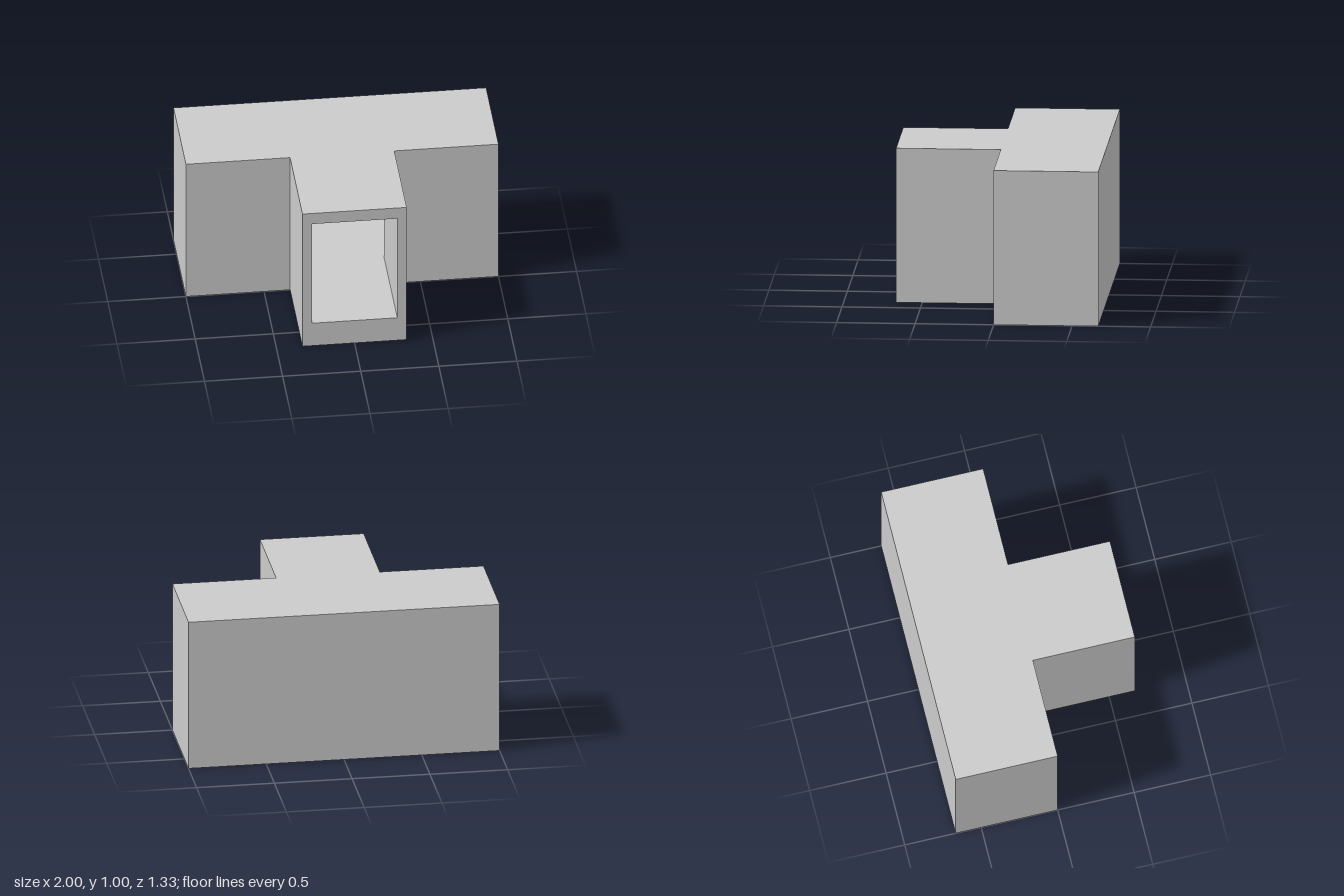
import * as THREE from 'three';

// T-shaped plan, counter-clockwise from above; the first edge is the front end of the stem
function outline(stem, arm, front, shoulder, back) {
  return [[-stem, front], [stem, front], [stem, shoulder], [arm, shoulder],
    [arm, back], [-arm, back], [-arm, shoulder], [-stem, shoulder]];
}

// Closed T prism without its front end; inward turns the faces to the inside
function shell(plan, y0, y1, inward) {
  const pos = [];
  const tri = (a, b, c) => pos.push(...a, ...(inward ? c : b), ...(inward ? b : c));
  const at = ([x, z], y) => [x, y, z];

  // Walls
  for (let i = 1; i < plan.length; i++) {
    const p = plan[i], q = plan[(i + 1) % plan.length];
    tri(at(p, y0), at(q, y0), at(q, y1));
    tri(at(p, y0), at(q, y1), at(p, y1));
  }
  // Top and bottom
  const flat = plan.map(([x, z]) => new THREE.Vector2(x, -z));
  for (const [a, b, c] of THREE.ShapeUtils.triangulateShape(flat, [])) {
    tri(at(plan[a], y1), at(plan[b], y1), at(plan[c], y1));
    tri(at(plan[a], y0), at(plan[c], y0), at(plan[b], y0));
  }
  const geo = new THREE.BufferGeometry();
  geo.setAttribute('position', new THREE.Float32BufferAttribute(pos, 3));
  geo.computeVertexNormals();
  return geo;
}

function rectangle(Type, half, y0, y1) {
  return new Type([[-half, y0], [half, y0], [half, y1], [-half, y1]]
    .map(([x, y]) => new THREE.Vector2(x, y)));
}

export function createModel() {
  const group = new THREE.Group();
  const material = new THREE.MeshStandardMaterial({ color: 0xcccccc, flatShading: true });
  const add = (name, geometry) => {
    const mesh = new THREE.Mesh(geometry, material);
    mesh.name = name;
    group.add(mesh);
    return mesh;
  };

  const third = 2 / 3, stem = 1 / 3, wall = 0.06;
  const inner = stem - wall, floor = 0.17, ceiling = 0.92;

  // Outside of the corridor block
  add('outerWalls', shell(outline(stem, 1, third, 0, -third), 0, 1, false));

  // Hollow T-shaped corridor inside
  add('innerWalls', shell(
    outline(inner, 1 - wall, third, -wall, -third + wall), floor, ceiling, true));

  // Frame around the entrance
  const frame = rectangle(THREE.Shape, stem, 0, 1);
  frame.holes.push(rectangle(THREE.Path, inner, floor, ceiling));
  add('entranceFrame', new THREE.ShapeGeometry(frame)).position.z = third;

  return group;
}
